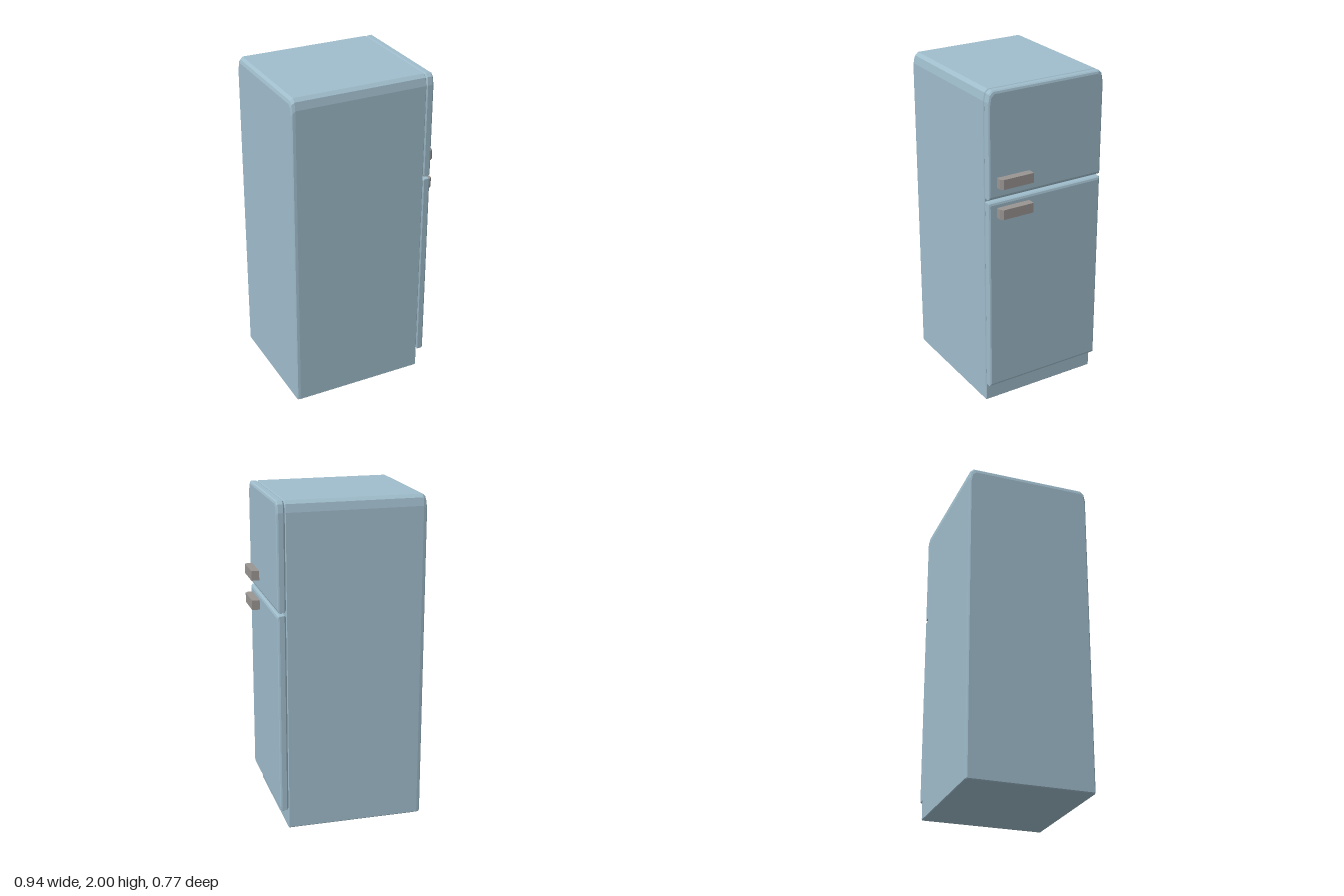
import * as THREE from 'three';

const blue = new THREE.MeshStandardMaterial({ color: 0x9fbccb, flatShading: true });
const grey = new THREE.MeshStandardMaterial({ color: 0x999593, flatShading: true });

// Outline in the z-y plane, counter-clockwise seen from +x; cut = [width, height] of the top corners
function outline(x, halfZ, y0, y1, cut, foot) {
  const [w, h] = cut;
  const right = [
    [halfZ - foot, y0], [halfZ, y0 + foot], [halfZ, y1 - h],
    [halfZ - w * 0.32, y1 - h * 0.28], [halfZ - w, y1],
  ];
  const ring = right.map(([z, y]) => new THREE.Vector3(x, y, -z));
  const mirrored = right.map(([z, y]) => new THREE.Vector3(x, y, z)).reverse();
  return [...ring, ...mirrored];
}

// Joins outlines along x and closes both ends
function loft(rings) {
  const points = [];
  const n = rings[0].length;
  for (let s = 0; s < rings.length - 1; s++) {
    const a = rings[s], b = rings[s + 1];
    for (let i = 0; i < n; i++) {
      const j = (i + 1) % n;
      points.push(a[i], a[j], b[j], a[i], b[j], b[i]);
    }
  }
  const back = rings[0], front = rings[rings.length - 1];
  for (let i = 1; i < n - 1; i++) {
    points.push(back[0], back[i + 1], back[i], front[0], front[i], front[i + 1]);
  }
  const geometry = new THREE.BufferGeometry().setFromPoints(points);
  geometry.computeVertexNormals();
  return geometry;
}

function add(group, name, geometry, material) {
  const mesh = new THREE.Mesh(geometry, material);
  mesh.name = name;
  group.add(mesh);
  return mesh;
}

// Door slab with bevelled edges; sections are [x, side inset, end inset]
function doorGeometry(y0, y1, cut) {
  const sections = [[0.37, 0.006, 0.012], [0.379, 0, 0], [0.408, 0, 0], [0.416, 0.004, 0.006], [0.42, 0.012, 0.018]];
  return loft(sections.map(([x, side, end]) => outline(x, 0.384 - side, y0 + end, y1 - end, cut, 0.003)));
}

export function createModel() {
  const group = new THREE.Group();
  const roundTop = [0.029, 0.066];

  // Cabinet: sections are [x, side inset, bottom inset, top inset]
  const cabinet = [
    [-0.47, 0.01, 0.006, 0.034], [-0.464, 0.003, 0.001, 0.014],
    [-0.448, 0, 0, 0], [0.365, 0, 0, 0], [0.37, 0.005, 0.005, 0.005],
  ];
  add(group, 'cabinet', loft(cabinet.map(([x, side, bottom, top]) =>
    outline(x, 0.384 - side, bottom, 2 - top, roundTop, 0.005))), blue);

  // Doors
  add(group, 'freezerDoor', doorGeometry(1.358, 2, roundTop), blue);
  add(group, 'fridgeDoor', doorGeometry(0.12, 1.342, [0.004, 0.004]), blue);

  // Handles: solid bars with one clipped corner
  const bar = new THREE.Shape([
    [0.415, -0.33], [0.452, -0.33], [0.468, -0.314], [0.468, -0.115], [0.415, -0.115],
  ].map(([x, y]) => new THREE.Vector2(x, y)));
  const handle = new THREE.ExtrudeGeometry(bar, { depth: 0.06, bevelEnabled: false });
  handle.rotateX(-Math.PI / 2);
  add(group, 'freezerHandle', handle, grey).position.y = 1.43;
  add(group, 'fridgeHandle', handle, grey).position.y = 1.245;

  return group;
}
